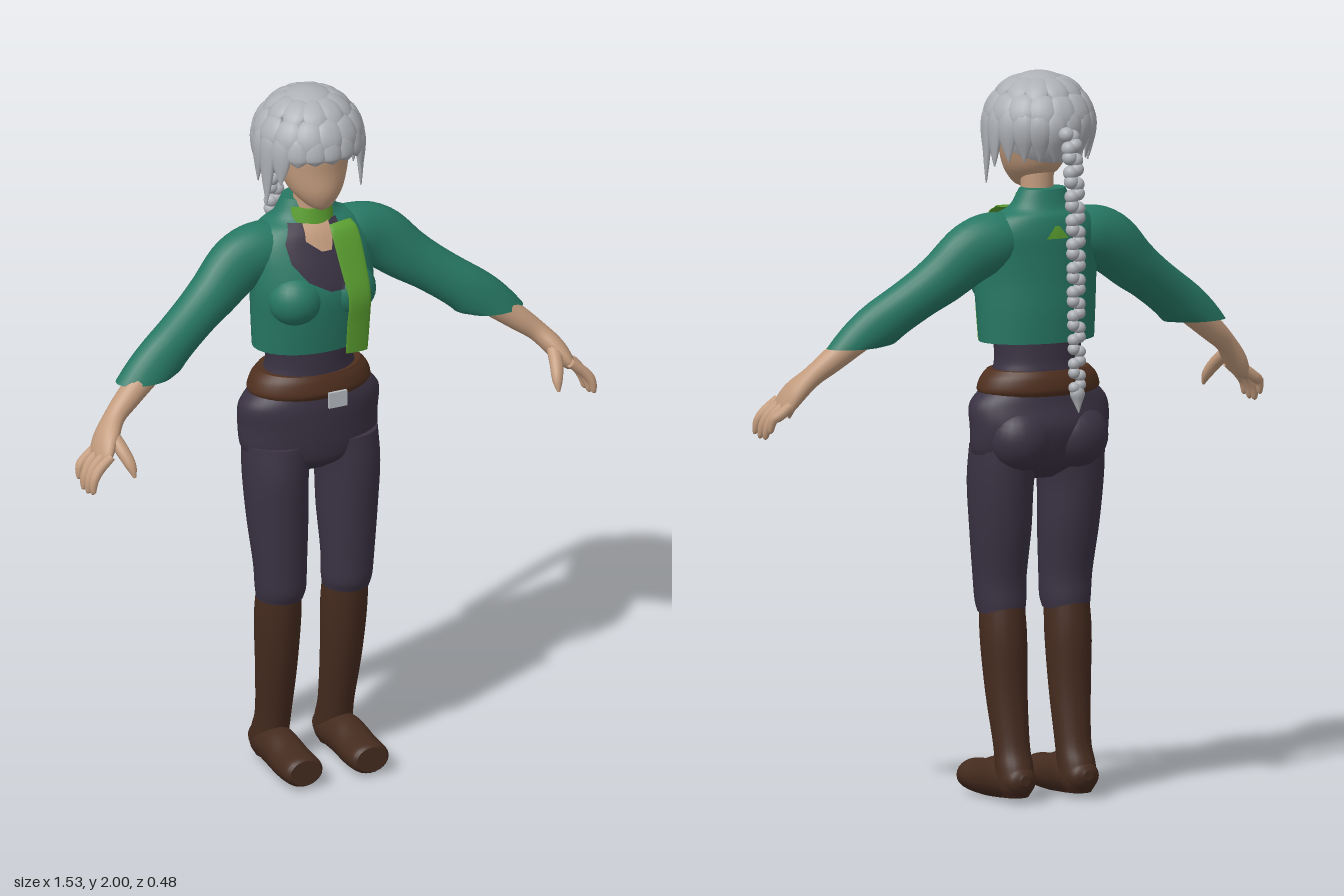
import * as THREE from 'three';

const flat = (name, color) => Object.assign(new THREE.MeshStandardMaterial({ color }), { name });
const V = (x, y, z) => new THREE.Vector3(x, y, z);
const X = V(1, 0, 0), Y = V(0, 1, 0), Z = V(0, 0, 1), DOWN = V(0, -1, 0);

// Smooth capped loft. rows: [x, y, z, radius along ref, radius across ref]
function loft(rows, ref, { dir, endDir, sides = 24, steps = 5 } = {}) {
  const curve = (f) => new THREE.CatmullRomCurve3(rows.map(f), false, 'catmullrom', 0.5);
  const path = curve((r) => V(r[0], r[1], r[2]));
  const size = curve((r) => V(r[3], r[4], 0));
  const n = (rows.length - 1) * steps, pos = [], index = [];
  for (let i = 0; i <= n; i++) {
    const t = i / n, c = path.getPoint(t), s = size.getPoint(t);
    const d = dir ? dir.clone() : path.getTangent(t);
    if (endDir) d.lerp(endDir, Math.max(0, (i - n) / steps + 1)).normalize();
    const u = ref.clone().addScaledVector(d, -ref.dot(d)).normalize();
    const v = d.clone().cross(u);
    for (let j = 0; j < sides; j++) {
      const a = (j / sides) * Math.PI * 2;
      const p = c.clone().addScaledVector(u, Math.max(s.x, 0.001) * Math.cos(a))
        .addScaledVector(v, Math.max(s.y, 0.001) * Math.sin(a));
      pos.push(p.x, p.y, p.z);
    }
  }
  for (let i = 0; i < n; i++) for (let j = 0; j < sides; j++) {
    const a = i * sides + j, b = i * sides + ((j + 1) % sides);
    index.push(a, b, b + sides, a, b + sides, a + sides);
  }
  // flat end caps with their own vertices
  for (const [row, flip] of [[0, true], [n, false]]) {
    const base = pos.length / 3;
    pos.push(...pos.slice(row * sides * 3, (row + 1) * sides * 3));
    for (let j = 1; j < sides - 1; j++) {
      index.push(base, base + (flip ? j + 1 : j), base + (flip ? j : j + 1));
    }
  }
  const g = new THREE.BufferGeometry();
  g.setAttribute('position', new THREE.Float32BufferAttribute(pos, 3));
  g.setIndex(index);
  g.computeVertexNormals();
  return g;
}

export function createModel() {
  const model = new THREE.Group();
  const skin = flat('skin', 0xc39c7e), hair = flat('silver hair', 0xaeb1b6);
  const teal = flat('teal jacket', 0x277864), purple = flat('dark purple cloth', 0x3a3243);
  const boot = flat('boot leather', 0x452b1f), belt = flat('belt leather', 0x50301f);
  const green = flat('green scarf', 0x5a9e30), metal = flat('buckle metal', 0xb6babf);

  const add = (name, geo, mat) => {
    const m = new THREE.Mesh(geo, mat);
    m.name = name;
    model.add(m);
    return m;
  };
  const ball = (name, mat, p, r) => {
    const m = add(name, new THREE.SphereGeometry(1, 24, 16), mat);
    m.position.set(...p);
    m.scale.set(...r);
    return m;
  };
  // Upright body part from rows [y, centre z, half width, half depth]
  const body = (name, mat, rows) => add(name,
    loft(rows.map(([y, cz, rx, rz]) => [0, y, cz, rz, rx]), Z, { dir: Y, sides: 36 }), mat);

  // Head and neck
  body('head', skin, [[1.672, 0.07, 0.012, 0.015], [1.688, 0.058, 0.04, 0.045], [1.73, 0.032, 0.075, 0.086],
    [1.79, 0.018, 0.096, 0.1], [1.86, 0.004, 0.105, 0.115], [1.94, -0.01, 0.09, 0.1], [1.97, -0.01, 0.04, 0.05]]);
  body('neck', skin, [[1.54, -0.01, 0.06, 0.05], [1.62, 0, 0.046, 0.045], [1.76, 0, 0.046, 0.046]]);

  // Jacket body, bust and collar
  const torso = body('jacketBody', teal, [[1.262, 0.004, 0.168, 0.112], [1.35, 0.008, 0.173, 0.12],
    [1.43, 0.012, 0.178, 0.122], [1.5, 0.002, 0.18, 0.113], [1.56, -0.012, 0.178, 0.1],
    [1.605, -0.02, 0.145, 0.085], [1.632, -0.025, 0.095, 0.066], [1.68, -0.028, 0.066, 0.05]]);
  const bust = [-1, 1].map((s) => ball(s > 0 ? 'leftBust' : 'rightBust', teal,
    [s * 0.078, 1.42, 0.075], [0.08, 0.075, 0.072]));

  // Waist, belt and buckle
  body('waistSash', purple, [[1.12, -0.005, 0.15, 0.1], [1.18, -0.004, 0.132, 0.098], [1.215, -0.002, 0.124, 0.096],
    [1.29, 0, 0.127, 0.096]]);
  body('belt', belt, [[1.118, -0.005, 0.172, 0.11], [1.135, -0.005, 0.179, 0.117], [1.165, -0.006, 0.168, 0.113],
    [1.186, -0.006, 0.148, 0.105]]);
  add('buckle', new THREE.BoxGeometry(0.055, 0.045, 0.009), metal).position.set(0, 1.145, 0.174);

  // Trouser seat
  body('trouserSeat', purple, [[0.885, 0, 0.06, 0.04], [0.92, 0, 0.15, 0.09], [0.96, -0.005, 0.197, 0.108],
    [1.03, -0.012, 0.205, 0.12], [1.09, -0.005, 0.205, 0.113], [1.13, -0.004, 0.172, 0.106], [1.15, 0, 0.14, 0.1]]);

  for (const s of [-1, 1]) {
    const side = s > 0 ? 'left' : 'right';
    const part = (name, mat, rows, ref, opts) =>
      add(side + name, loft(rows.map(([x, ...r]) => [s * x, ...r]), ref, opts), mat);
    ball(side + 'Buttock', purple, [s * 0.085, 1.0, -0.062], [0.092, 0.09, 0.08]);

    // Trouser leg, boot shaft and foot
    part('TrouserLeg', purple, [[0.098, 0.98, 0, 0.1, 0.098], [0.108, 0.88, 0.01, 0.1, 0.089],
      [0.105, 0.75, 0.016, 0.091, 0.083], [0.102, 0.62, 0.026, 0.077, 0.073], [0.1, 0.55, 0.025, 0.075, 0.069],
      [0.1, 0.518, 0.02, 0.068, 0.064]], Z, { dir: DOWN });
    part('BootShaft', boot, [[0.1, 0.56, 0.018, 0.064, 0.06], [0.1, 0.45, 0.008, 0.066, 0.064],
      [0.098, 0.3, -0.005, 0.056, 0.058], [0.095, 0.16, -0.028, 0.05, 0.05], [0.096, 0.1, -0.045, 0.056, 0.051],
      [0.097, 0.05, -0.055, 0.056, 0.05], [0.097, 0.018, -0.055, 0.035, 0.035]], Z, { dir: DOWN });
    part('Foot', boot, [[0.097, 0.068, -0.114, 0.014, 0.014], [0.097, 0.065, -0.095, 0.042, 0.038],
      [0.097, 0.064, -0.04, 0.053, 0.052], [0.1, 0.064, 0.03, 0.055, 0.058], [0.1, 0.054, 0.1, 0.058, 0.05],
      [0.1, 0.053, 0.165, 0.057, 0.044], [0.1, 0.053, 0.182, 0.046, 0.036]], X, { dir: Z });

    // Sleeve with a level cuff
    part('Sleeve', teal, [[0.07, 1.555, -0.02, 0.06, 0.055], [0.135, 1.543, -0.018, 0.07, 0.08],
      [0.21, 1.515, -0.014, 0.066, 0.085], [0.29, 1.45, 0.002, 0.06, 0.074], [0.36, 1.4, 0.02, 0.056, 0.066],
      [0.45, 1.335, 0.045, 0.054, 0.067], [0.53, 1.267, 0.062, 0.052, 0.083]], Z, { endDir: DOWN });

    // Forearm, palm, fingers and thumb
    part('Hand', skin, [[0.51, 1.295, 0.065, 0.036, 0.04], [0.59, 1.232, 0.085, 0.034, 0.034],
      [0.64, 1.19, 0.102, 0.032, 0.028], [0.678, 1.147, 0.128, 0.046, 0.028], [0.702, 1.11, 0.147, 0.05, 0.021],
      [0.712, 1.093, 0.153, 0.04, 0.012]], Z);
    for (let i = 0; i < 4; i++) {
      const z = 0.108 + i * 0.029, drop = i === 0 ? 0.02 : i === 3 ? 0.008 : 0;
      part('Finger' + (i + 1), skin, [[0.695, 1.12, z, 0.013, 0.013], [0.732, 1.09, z + 0.003, 0.0145, 0.015],
        [0.752, 1.055 + drop, z + 0.01, 0.013, 0.013], [0.757, 1.025 + drop, z + 0.015, 0.008, 0.008],
        [0.757, 1.018 + drop, z + 0.016, 0.002, 0.002]], Z, { sides: 10, steps: 3 });
    }
    part('Thumb', skin, [[0.668, 1.16, 0.14, 0.02, 0.018], [0.656, 1.125, 0.185, 0.019, 0.017],
      [0.645, 1.09, 0.215, 0.015, 0.014], [0.641, 1.06, 0.23, 0.004, 0.004]], X, { sides: 12, steps: 3 });
  }

  // Thin cloth pieces laid on the jacket; rows: [y, x from, x to], top to bottom
  model.updateMatrixWorld(true);
  const patch = (name, mat, rows, face, lift) => {
    const nx = 10, per = 4, n = (rows.length - 1) * per, pos = [], index = [];
    for (let i = 0; i <= n; i++) {
      const k = Math.min(Math.floor(i / per), rows.length - 2), t = i / per - k;
      const [y, x0, x1] = rows[k].map((v, m) => THREE.MathUtils.lerp(v, rows[k + 1][m], t));
      for (let j = 0; j <= nx; j++) {
        const x = x0 + (x1 - x0) * (j / nx);
        const hit = new THREE.Raycaster(V(x, y, face), V(0, 0, -face)).intersectObjects([torso, ...bust])[0];
        pos.push(x, y, (hit ? hit.point.z : 0) + face * lift);
        if (i < n && j < nx) {
          const a = i * (nx + 1) + j, b = a + nx + 1;
          index.push(...(face > 0 ? [a, b, b + 1, a, b + 1, a + 1] : [a, b + 1, b, a, a + 1, b + 1]));
        }
      }
    }
    const g = new THREE.BufferGeometry();
    g.setAttribute('position', new THREE.Float32BufferAttribute(pos, 3));
    g.setIndex(index);
    g.computeVertexNormals();
    add(name, g, mat);
  };
  patch('undershirt', purple, [[1.625, -0.08, 0.06], [1.58, -0.104, 0.06], [1.53, -0.098, 0.055],
    [1.48, -0.06, 0.05], [1.448, 0.0, 0.04]], 1, 0.005);
  patch('bareChest', skin, [[1.625, -0.045, 0.03], [1.585, -0.05, 0.03], [1.555, -0.01, 0.02]], 1, 0.009);
  patch('scarfBackCorner', green, [[1.585, -0.006, 0.006], [1.55, -0.034, 0.034]], -1, 0.006);

  // Scarf band and hanging end
  body('scarfBand', green, [[1.612, 0.004, 0.068, 0.058], [1.635, 0.002, 0.066, 0.054], [1.662, 0, 0.06, 0.05]]);
  add('scarfEnd', loft([[0.058, 1.62, 0.07, 0.034, 0.004], [0.062, 1.595, 0.095, 0.04, 0.005],
    [0.073, 1.5, 0.126, 0.038, 0.005], [0.082, 1.42, 0.144, 0.033, 0.005], [0.083, 1.34, 0.134, 0.034, 0.005],
    [0.083, 1.25, 0.122, 0.033, 0.005]], X), green);

  // Hair cap, open toward the face
  const capHair = hair.clone();
  capHair.side = THREE.DoubleSide;
  const cap = add('hairCap', new THREE.SphereGeometry(1, 32, 20, 0, Math.PI * 2, 0, 1.8), capHair);
  cap.position.set(0, 1.855, -0.012);
  cap.scale.set(0.138, 0.138, 0.146);
  cap.rotation.x = -0.5;

  // Pointed locks that follow the skull from polar angle p0 to p1, then hang to tipY
  const lock = (name, a, p0, p1, width, tipY) => {
    const rows = [], shape = [0.3, 0.85, 1, 0.95, 0.6, 0.06];
    const back = Math.max(0, -Math.cos(a));
    shape.forEach((w, i) => {
      const t = i / 5, p = p0 + (p1 - p0) * Math.min(1, tipY ? t * 2 : t);
      const hang = tipY ? Math.max(0, t * 2 - 1) : 0;
      const r = Math.sin(p) * (1 - hang * (0.2 * back - 0.02));
      const y = 1.85 + 0.138 * Math.cos(p);
      rows.push([Math.sin(a) * 0.144 * r, THREE.MathUtils.lerp(y, tipY || y, hang),
        -0.01 + Math.cos(a) * 0.15 * r, width * w, 0.013 * Math.max(w, 0.15)]);
    });
    add(name, loft(rows, V(Math.cos(a), 0, -Math.sin(a)), { sides: 10, steps: 3 }), hair);
  };
  ball('crownHair', hair, [0, 1.945, -0.01], [0.085, 0.054, 0.088]);
  for (let i = 0; i < 11; i++) lock('crownLock', ((i + 0.5) / 11) * Math.PI * 2, 0.3, 1.12, 0.036);
  for (let i = 0; i < 14; i++) lock('middleLock', (i / 14) * Math.PI * 2, 0.75, 1.65, 0.037);
  for (let i = 0; i < 19; i++) {
    const a = ((i + 0.5) / 19) * Math.PI * 2 - Math.PI, m = Math.abs(a);
    const side = Math.exp(-(((m - 1.3) / 0.36) ** 2));
    lock('hangingLock', a, 1.0, 1.58, 0.03, (m > 1.6 ? 1.765 : 1.83) - side * (m > 1.6 ? 0.05 : 0.135));
  }

  // Braid of overlapping knots with a pointed end
  const braid = new THREE.CatmullRomCurve3([V(0, 1.845, -0.15), V(0, 1.838, -0.185), V(0, 1.76, -0.203),
    V(0, 1.6, -0.217), V(0, 1.35, -0.221), V(0, 1.16, -0.226)]);
  for (let i = 0; i < 23; i++) {
    const p = braid.getPointAt(i / 22), r = 0.027 - i * 0.0003;
    for (const s of [-1, 1]) {
      const knot = ball('braidKnot', hair, [s * 0.009, p.y + s * 0.004 * (i % 2 ? 1 : -1), p.z], [r * 0.8, r * 0.78, r * 0.82]);
      knot.rotation.z = s * 0.5;
    }
  }
  add('braidTip', loft([[0, 1.165, -0.226, 0.012, 0.012], [0, 1.14, -0.227, 0.021, 0.019],
    [0, 1.115, -0.23, 0.012, 0.011], [0, 1.088, -0.235, 0.001, 0.001]], X, { sides: 12 }), hair);

  return model;
}
